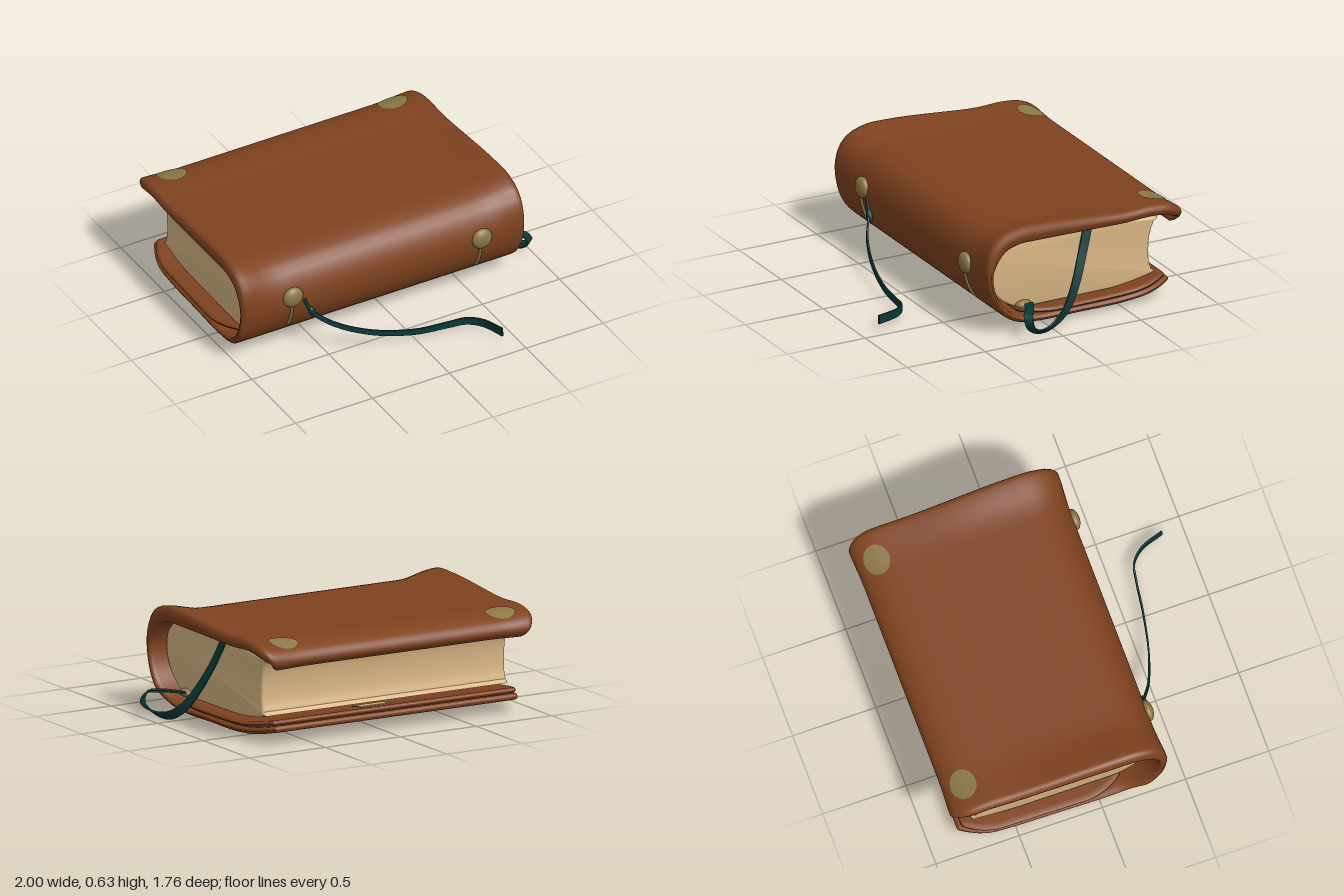
import * as THREE from 'three';
import { toCreasedNormals } from 'three/addons/utils/BufferGeometryUtils.js';

const mat = (name, color) => {
  const m = new THREE.MeshStandardMaterial({ color });
  m.name = name;
  return m;
};
const V = (x, y, z) => new THREE.Vector3(x, y, z);
const smooth = THREE.MathUtils.smoothstep;
const CX = -0.08; // middle of the book along x

// Skin a list of equal-length closed rings
function loft(rings) {
  const n = rings[0].length, pos = [], idx = [];
  rings.forEach(r => r.forEach(p => pos.push(p.x, p.y, p.z)));
  for (let i = 0; i < rings.length - 1; i++) {
    for (let j = 0; j < n; j++) {
      const a = i * n + j, b = i * n + (j + 1) % n;
      idx.push(a, b, a + n, b, b + n, a + n);
    }
  }
  const g = new THREE.BufferGeometry();
  g.setAttribute('position', new THREE.Float32BufferAttribute(pos, 3));
  g.setIndex(idx);
  g.computeVertexNormals();
  return g;
}

// Path in the z-y plane
const zyPath = pts => new THREE.CatmullRomCurve3(pts.map(([z, y]) => V(0, y, z)));

// Outer line of the cover: lower board, round spine, upper board, curled lip
const coverPath = zyPath([
  [-0.832, 0.08], [-0.72, 0.056], [-0.5, 0.031], [-0.2, 0.03], [0.05, 0.03], [0.18, 0.05],
  [0.29, 0.12], [0.36, 0.22], [0.39, 0.35], [0.37, 0.45], [0.31, 0.54], [0.2, 0.585],
  [0.05, 0.589], [-0.25, 0.585], [-0.5, 0.581], [-0.68, 0.588], [-0.79, 0.572],
  [-0.86, 0.535], [-0.878, 0.49], [-0.838, 0.442]]);
const linerPath = zyPath([[-0.805, 0.114], [-0.65, 0.086], [-0.5, 0.07], [0, 0.067], [0.15, 0.078]]);

const halfWidth = p => 0.92 - 0.014 * smooth(-p.z, -0.2, 0.8) - 0.035 * (1 - smooth(p.y, 0.03, 0.13));
// Upturned edges beside the spine and upper board
const flareAt = (xn, p) => smooth(Math.abs(xn), 0.72, 1) * smooth(p.y, 0.3, 0.58) *
  (0.012 + 0.03 * smooth(p.z, -0.6, 0.1));

// Point on a path, pushed outwards by off
function pathPoint(path, s, x, off) {
  const p = path.getPointAt(s), t = path.getTangentAt(s);
  return V(x, p.y - t.z * off, p.z + t.y * off);
}

// Leather sheet following a path, with rounded edges and corners
function sheet(path, thickness, flare, width) {
  const rings = [], len = path.getLength(), N = 110, M = 32;
  for (let i = 0; i <= N; i++) {
    const s = (1 - Math.cos(Math.PI * i / N)) / 2;
    const p = path.getPointAt(s), d = Math.min(s, 1 - s) * len;
    const endK = d < 0.02 ? Math.sqrt(Math.max(0, 1 - (1 - d / 0.02) ** 2)) : 1;
    const w = halfWidth(p) * width - 0.09 * Math.max(0, 1 - d / 0.24) ** 2;
    const outer = [], inner = [];
    for (let j = 0; j <= M; j++) {
      const xn = Math.sin(Math.PI * (j / M - 0.5));
      const e = Math.max(0, (Math.abs(xn) - 0.975) / 0.025);
      const k = endK * (0.02 + 0.98 * Math.sqrt(Math.max(0, 1 - e * e)));
      const f = flare(xn, p), t = thickness(p), mid = (f - t) / 2, h = (f + t) / 2 * k;
      outer.push(pathPoint(path, s, CX + xn * w, mid + h));
      inner.unshift(pathPoint(path, s, CX + xn * w, mid - h));
    }
    rings.push([...outer, ...inner]);
  }
  return loft(rings);
}

// Point on the outside of the cover
function onCover(x, s, lift) {
  const p = coverPath.getPointAt(s);
  return pathPoint(coverPath, s, x, flareAt((x - CX) / halfWidth(p), p) + lift);
}
// Path parameter in [a, b] where a coordinate is closest to a value
function findS(axis, value, a, b) {
  let best = a, err = Infinity;
  for (let i = 0; i <= 200; i++) {
    const s = a + (b - a) * i / 200, e = Math.abs(coverPath.getPointAt(s)[axis] - value);
    if (e < err) { err = e; best = s; }
  }
  return best;
}

// Thin oval plate lying on the cover
function plate(x, s, rx, rz) {
  const rs = rz / coverPath.getLength(), rings = [];
  for (let i = 5; i >= 0; i--) {
    const ring = [];
    for (let j = 0; j < 32; j++) {
      const a = j / 32 * Math.PI * 2, r = i / 5;
      ring.push(onCover(x + rx * r * Math.cos(a), s + rs * r * Math.sin(a), 0.006));
    }
    rings.push(ring);
  }
  return loft(rings);
}

// Flat ribbon: points, width directions and half widths are blended along the curve
function ribbon(pts, dirs, w0, w1) {
  const curve = new THREE.CatmullRomCurve3(pts.map(p => V(...p)));
  const dirCurve = new THREE.CatmullRomCurve3(dirs.map(p => V(...p)));
  const rings = [], N = 60;
  for (let i = 0; i <= N; i++) {
    const u = i / N, c = curve.getPoint(u), T = curve.getTangent(u);
    const W = dirCurve.getPoint(u);
    W.addScaledVector(T, -W.dot(T)).normalize();
    const B = T.clone().cross(W), w = w0 + (w1 - w0) * u;
    const ring = [[1, 1], [-1, 1], [-1, -1], [1, -1]].map(([a, b]) =>
      c.clone().addScaledVector(W, a * w).addScaledVector(B, b * 0.005));
    const cap = ring.map(() => c.clone());
    if (i === 0) rings.push(cap);
    rings.push(ring);
    if (i === N) rings.push(cap);
  }
  return toCreasedNormals(loft(rings), 0.7);
}

// Page block with rounded back, softened ends and a hollow, faintly ridged fore edge
function pageBlock() {
  const shape = new THREE.Shape();
  shape.moveTo(-0.738, 0.158);
  shape.quadraticCurveTo(-0.6, 0.12, -0.45, 0.108);
  shape.lineTo(0.1, 0.102);
  shape.bezierCurveTo(0.24, 0.12, 0.345, 0.24, 0.345, 0.36);
  shape.bezierCurveTo(0.345, 0.46, 0.28, 0.515, 0.18, 0.527);
  shape.lineTo(-0.2, 0.527);
  shape.quadraticCurveTo(-0.55, 0.517, -0.757, 0.485);
  const N = 16;
  for (let i = 1; i < N; i++) {
    const t = i / N, bow = 4 * t * (1 - t);
    shape.lineTo(-0.757 + 0.019 * t + 0.05 * Math.sqrt(bow) + (i % 2 ? 0.0015 : -0.0015), 0.485 - 0.327 * t);
  }
  const g = new THREE.ExtrudeGeometry(shape, {
    depth: 1.57, curveSegments: 14,
    bevelThickness: 0.02, bevelSize: 0.014, bevelOffset: -0.014, bevelSegments: 3 });
  g.rotateY(-Math.PI / 2).translate(0.715, 0, 0);
  return toCreasedNormals(g, 0.6);
}

export function createModel() {
  const leather = mat('brown leather', 0x7f421f);
  const paper = mat('aged paper', 0xd8b684);
  const brass = mat('dull brass', 0x8c7847);
  const cloth = mat('teal ribbon', 0x0a3938);
  const root = new THREE.Group();
  root.name = 'book';
  const add = (name, geometry, material) => {
    const m = new THREE.Mesh(geometry, material);
    m.name = name;
    root.add(m);
    return m;
  };

  add('cover', sheet(coverPath, p => 0.038 + 0.015 * smooth(p.y, 0.35, 0.55), flareAt, 1), leather);
  add('lowerLiner', sheet(linerPath, () => 0.03, () => 0, 0.985), leather);
  add('pages', pageBlock(), paper);

  // Loose leaf slipping out under the pages
  const leaf = add('looseLeaf', new THREE.BoxGeometry(0.2, 0.006, 0.12), paper);
  leaf.position.set(0.03, 0.142, -0.735);
  leaf.rotation.x = 0.17;

  // Corner plates on both boards
  const sTop = findS('z', -0.765, 0.7, 0.96), sLow = findS('z', -0.72, 0, 0.3);
  for (const x of [-0.8, 0.635]) {
    add('upperCornerPlate', plate(x, sTop, 0.09, 0.075), brass);
    add('lowerCornerPlate', plate(x, sLow, 0.088, 0.078), brass);
  }

  // Spine buttons with tapering pins
  for (const [x, y] of [[-0.67, 0.388], [0.558, 0.37]]) {
    const b = add('spineButton', new THREE.SphereGeometry(0.063, 28, 18), brass);
    b.scale.z = 0.55;
    b.position.copy(onCover(x, findS('y', y, 0.3, 0.6), 0));
    b.position.y = y;
    const rings = [];
    for (let i = 0; i <= 12; i++) {
      const t = i / 12, r = i === 12 ? 0 : 0.008 + 0.004 * t;
      const c = onCover(x - 0.006, findS('y', y - 0.03 - 0.195 * t, 0.3, 0.6), 0.003);
      rings.push(Array.from({ length: 10 }, (_, j) => {
        const a = j / 10 * Math.PI * 2;
        return V(c.x + r * Math.cos(a), c.y, c.z + r * Math.sin(a));
      }));
    }
    add('buttonPin', loft(rings), brass);
  }

  // Small stud at the foot of the pages
  const stud = add('ribbonStud', new THREE.SphereGeometry(0.05, 20, 12), brass);
  stud.scale.set(0.7, 0.5, 1);
  stud.position.set(0.74, 0.128, 0.115);

  // Bookmark looping out of the side
  add('bookmark', ribbon(
    [[0.74, 0.525, -0.3], [0.775, 0.38, -0.245], [0.83, 0.22, -0.17], [0.875, 0.1, -0.085], [0.91, 0.032, 0.03],
      [0.95, 0.038, 0.13], [0.978, 0.085, 0.195], [0.95, 0.14, 0.195], [0.88, 0.15, 0.15], [0.76, 0.135, 0.09]],
    [[0, 0, 1], [0, 0.1, 1], [0.1, 0.3, 1], [0.2, 0.6, 0.6], [0.5, 0.7, 0.1], [0.7, 0.5, -0.2],
      [0.8, 0.2, -0.5], [0.7, 0, -0.7], [0.6, 0, -0.7], [0.6, 0.1, -0.7]], 0.027, 0.026), cloth);

  // Loose ribbon tied beside the left-hand button
  add('tieRibbon', ribbon(
    [[-0.6, 0.355, 0.4], [-0.555, 0.26, 0.41], [-0.45, 0.18, 0.475], [-0.25, 0.1, 0.55], [0, 0.052, 0.607],
      [0.2, 0.05, 0.637], [0.3, 0.055, 0.66], [0.37, 0.06, 0.73], [0.42, 0.063, 0.87]],
    [[0.5, 1, 0], [0.3, 1, 0], [0, 1, 0], [0, 1, 0], [0, 1, 0]], 0.01, 0.027), cloth);
  const knot = add('ribbonKnot', new THREE.SphereGeometry(0.03, 16, 12), cloth);
  knot.scale.set(0.7, 1.3, 0.6);
  knot.rotation.z = 0.45;
  knot.position.set(-0.553, 0.26, 0.405);

  return root;
}
